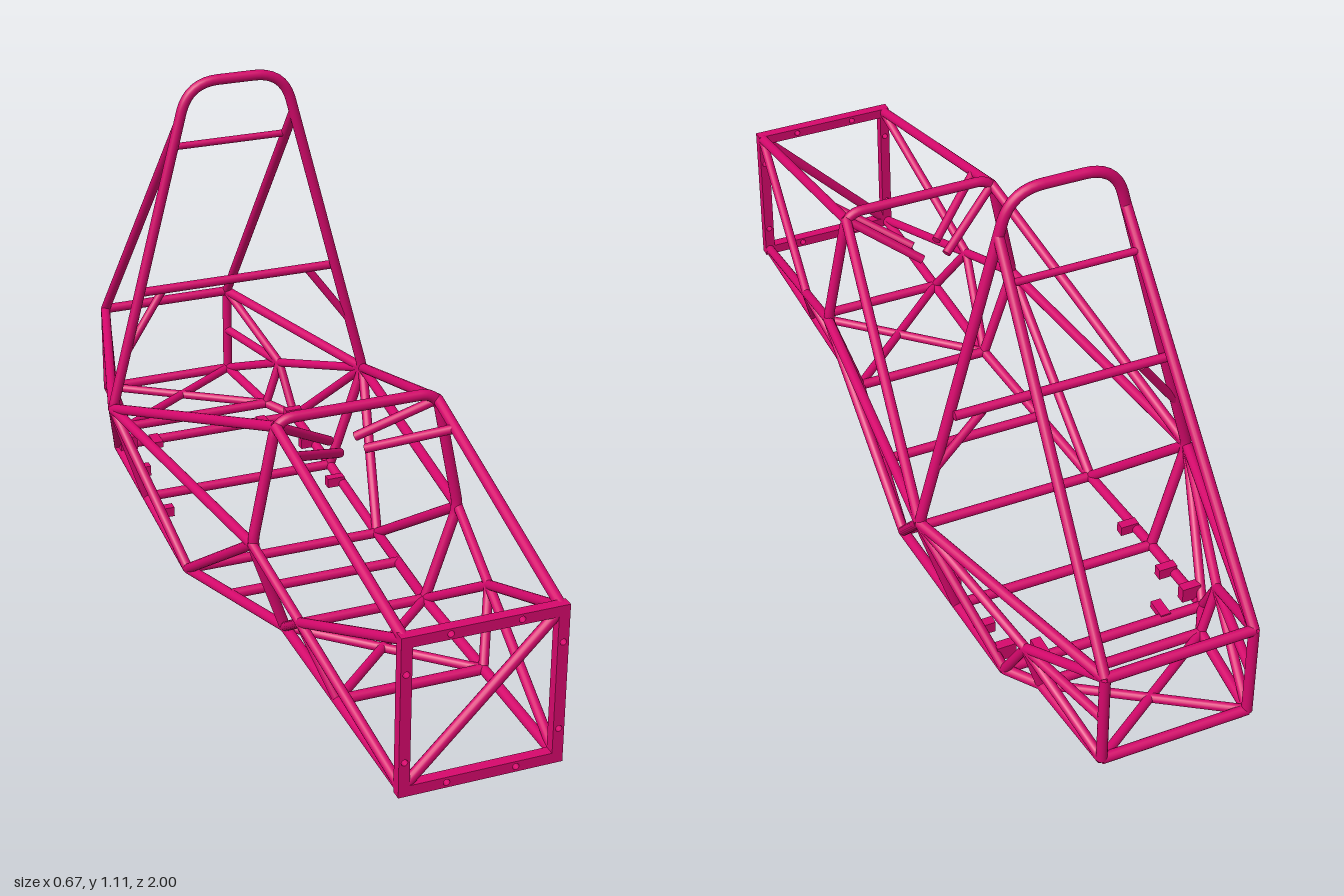
import * as THREE from 'three';

const V = (p) => new THREE.Vector3(...p);
const flip = ([x, y, z]) => [-x, y, z];

export function createModel() {
  const model = new THREE.Group();
  model.name = 'spaceFrame';
  const paint = new THREE.MeshStandardMaterial({ color: 0xd6086c });

  function add(name, geometry) {
    const mesh = new THREE.Mesh(geometry, paint);
    mesh.name = name;
    model.add(mesh);
    return mesh;
  }

  // Straight round tube between two points
  function tube(name, a, b, r = 0.0118) {
    const from = V(a), dir = V(b).sub(from);
    const mesh = add(name, new THREE.CylinderGeometry(r, r, dir.length(), 16));
    mesh.position.copy(from).addScaledVector(dir, 0.5);
    mesh.quaternion.setFromUnitVectors(new THREE.Vector3(0, 1, 0), dir.normalize());
  }

  // The same tube on both sides
  function pair(name, a, b, r) {
    tube(name + 'Left', a, b, r);
    tube(name + 'Right', flip(a), flip(b), r);
  }

  // Tube across the frame
  const cross = (name, p, r) => tube(name, p, flip(p), r);

  // Symmetric bent hoop: half profile of [x, y, z, bend length]
  function hoop(name, half, r) {
    const pts = [...half, ...half.slice().reverse().map(([x, y, z, d]) => [-x, y, z, d])];
    const path = new THREE.CurvePath();
    let last = V(pts[0].slice(0, 3));
    for (let i = 1; i < pts.length - 1; i++) {
      const p = V(pts[i].slice(0, 3)), d = pts[i][3];
      const step = (q) => V(q.slice(0, 3)).sub(p).setLength(d).add(p);
      const start = step(pts[i - 1]), end = step(pts[i + 1]);
      path.add(new THREE.LineCurve3(last, start));
      path.add(new THREE.QuadraticBezierCurve3(start, p, end));
      last = end;
    }
    path.add(new THREE.LineCurve3(last, V(pts[pts.length - 1].slice(0, 3))));
    add(name, new THREE.TubeGeometry(path, 160, r, 16));
  }

  // Frame nodes on the left side
  const noseTop = [0.166, 0.436, 0.985], noseLow = [0.166, 0.097, 0.985];
  const frontTop = [0.185, 0.588, 0.34], frontMid = [0.24, 0.318, 0.34], frontLow = [0.166, 0.097, 0.34];
  const noseNode = [0.215, 0.243, 0.56], noseFloor = [0.166, 0.097, 0.65];
  const sill = [0.24, 0.015, -0.11];
  const mainMid = [0.322, 0.309, -0.41], mainLow = [0.24, 0.05, -0.42];
  const rearFloor = [0.238, 0.073, -0.665], rearKink = [0.19, 0.081, -0.745];
  const rearNode = [0.225, 0.195, -0.74];
  const tailTop = [0.168, 0.308, -0.986], tailLow = [0.168, 0.082, -0.986];
  const braceTop = [0.142, 1.0, -0.412];

  // Front bulkhead: drilled square-tube frame
  const plate = new THREE.Shape([
    [-0.178, 0.085], [0.178, 0.085], [0.178, 0.448], [-0.178, 0.448],
  ].map(([x, y]) => new THREE.Vector2(x, y)));
  plate.holes.push(new THREE.Path([
    [-0.154, 0.109], [-0.154, 0.424], [0.154, 0.424], [0.154, 0.109],
  ].map(([x, y]) => new THREE.Vector2(x, y))));
  for (const s of [-1, 1]) {
    for (const [x, y] of [[0.075, 0.097], [0.075, 0.436], [0.166, 0.165], [0.166, 0.365]]) {
      plate.holes.push(new THREE.Path().absarc(s * x, y, 0.007, 0, Math.PI * 2, true));
    }
  }
  const bulkhead = new THREE.ExtrudeGeometry(plate, { depth: 0.024, bevelEnabled: false, curveSegments: 12 });
  add('frontBulkhead', bulkhead.translate(0, 0, 0.974));
  tube('bulkheadDiagonal', flip(noseLow), noseTop);

  // Front and main roll hoops
  hoop('frontHoop', [frontLow, [...frontMid, 0.025], [0.183, 0.604, 0.34, 0.04]], 0.0122);
  hoop('mainHoop', [mainLow, [...mainMid, 0.02], [0.116, 1.098, -0.412, 0.072]], 0.0122);

  // Nose sides and floor
  pair('noseUpperRail', noseTop, frontTop);
  pair('noseLowerRail', noseLow, frontLow);
  for (const p of [noseLow, frontMid, noseTop, frontLow, noseFloor]) pair('noseSideBrace', p, noseNode, 0.0108);
  cross('noseFloorBar', noseFloor);
  cross('frontHoopFloorBar', frontLow);
  pair('noseFloorCross', frontLow, flip(noseFloor), 0.0105);

  // Steering supports
  pair('steeringSupportRear', frontTop, [0.03, 0.486, 0.255], 0.0105);
  pair('steeringSupportFront', [0.182, 0.565, 0.44], [0.03, 0.486, 0.315], 0.0105);

  // Cockpit sides and floor
  pair('cockpitUpperRail', frontTop, mainMid);
  pair('cockpitMiddleRail', frontMid, mainMid);
  pair('cockpitLowerRail', frontLow, sill);
  pair('cockpitFrontDiagonal', frontMid, sill);
  pair('cockpitRearDiagonal', sill, mainMid);
  cross('cockpitFloorBar', [0.205, 0.055, 0.1]);
  cross('seatFloorBar', sill);
  cross('mainHoopFloorBar', mainLow);

  // Main hoop braces and shoulder harness bar
  pair('mainHoopBrace', braceTop, tailTop);
  cross('braceBar', [0.144, 0.925, -0.475], 0.0082);
  cross('harnessBar', [0.248, 0.59, -0.43], 0.0105);
  pair('harnessBarStrut', [0.283, 0.45, -0.412], [0.185, 0.585, -0.432], 0.0095);

  // Rear sides
  pair('rearUpperRail', mainMid, tailTop);
  pair('rearLowerRail', sill, mainLow);
  pair('rearLowerRail', mainLow, rearFloor);
  pair('rearLowerRail', rearFloor, rearKink);
  pair('rearLowerRail', rearKink, tailLow);
  pair('rearDiagonal', mainMid, rearFloor, 0.0108);
  for (const p of [mainMid, rearFloor, rearKink, tailTop, tailLow, [0.168, 0.195, -0.986]]) {
    pair('rearSideBrace', p, rearNode, 0.0108);
  }

  // Rear floor and tail frame
  cross('rearFloorBar', rearFloor);
  cross('rearKinkBar', rearKink);
  pair('rearFloorCross', rearKink, flip(tailLow), 0.0105);
  pair('tailUpright', tailTop, tailLow);
  cross('tailTopBar', tailTop);
  cross('tailLowBar', tailLow);

  // Mounting tabs on the lower rails and rear floor bar
  function tab(x, y, z, w, h, d) {
    for (const s of [-1, 1]) add('mountingTab', new THREE.BoxGeometry(w, h, d)).position.set(s * x, y, z);
  }
  tab(0.222, 0.047, -0.34, 0.044, 0.024, 0.022);
  tab(0.222, 0.068, -0.525, 0.044, 0.026, 0.022);
  tab(0.222, 0.095, -0.632, 0.044, 0.036, 0.022);
  tab(0.145, 0.079, -0.645, 0.024, 0.016, 0.05);

  return model;
}
